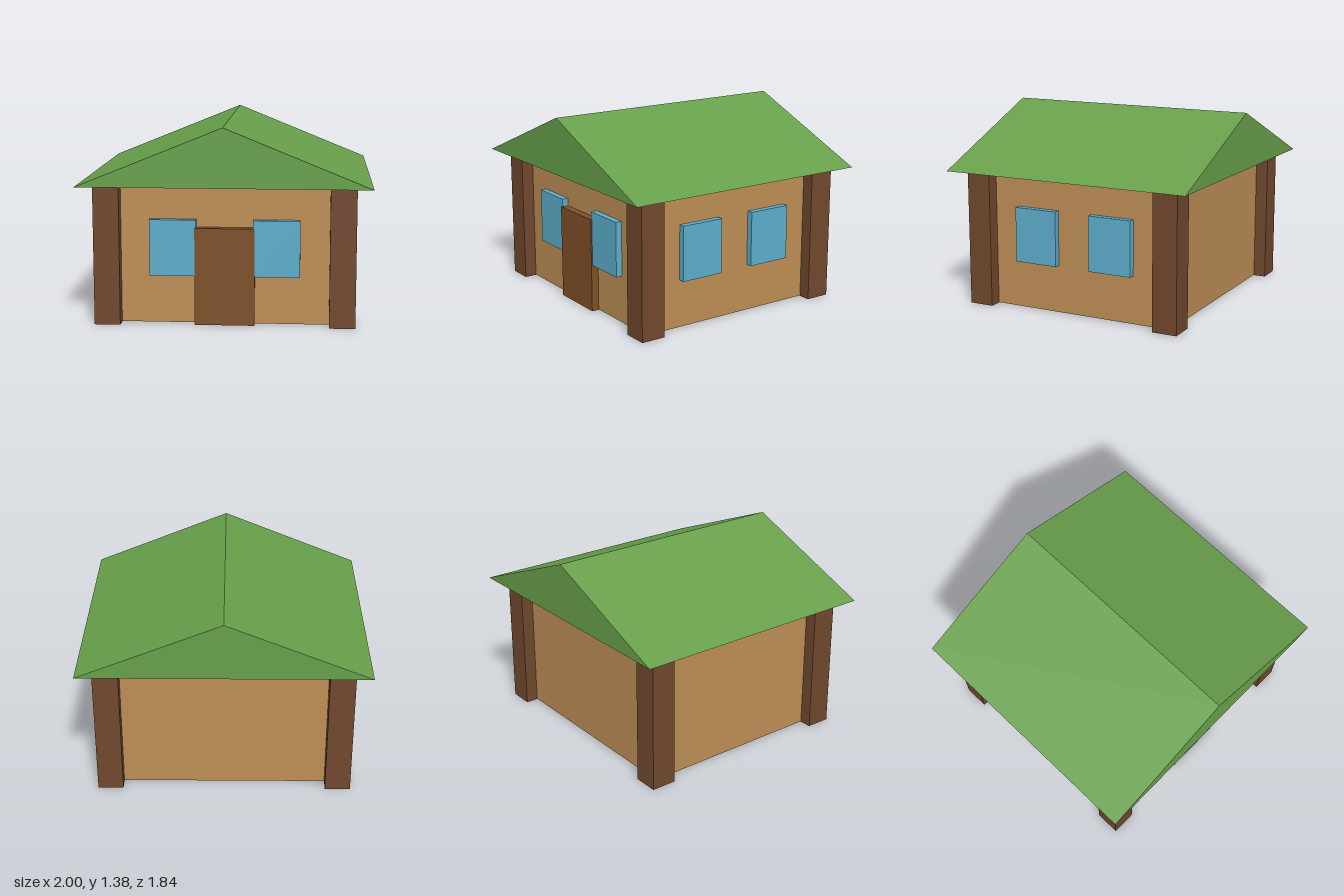
import * as THREE from 'three';

const material = (color) => new THREE.MeshStandardMaterial({ color, flatShading: true });

export function createModel() {
  const house = new THREE.Group();
  house.name = 'house';
  const wallMat = material(0xbe8e55);
  const postMat = material(0x70482e);
  const doorMat = material(0x7e5028);
  const glassMat = material(0x5daecb);
  const roofMat = material(0x68a04b);

  // Box given by its size, the height of its bottom and its centre in x and z
  function box(name, mat, w, h, d, x, bottom, z) {
    const mesh = new THREE.Mesh(new THREE.BoxGeometry(w, h, d), mat);
    mesh.name = name;
    mesh.position.set(x, bottom + h / 2, z);
    house.add(mesh);
  }

  const eaves = 0.97, wallX = 0.805, wallZ = 0.725;

  // Walls, lifted a hair above the post feet
  box('walls', wallMat, wallX * 2, eaves - 0.003, wallZ * 2, 0, 0.003, 0);

  // Square posts centred on the wall corners
  for (const sx of [-1, 1]) {
    for (const sz of [-1, 1]) {
      box('cornerPost', postMat, 0.178, eaves, 0.178, sx * wallX, 0, sz * wallZ);
    }
  }

  // Front door
  box('door', doorMat, 0.41, 0.675, 0.1, 0, 0, 0.729);

  // Two windows on the front wall and two on the +x wall
  for (const s of [-1, 1]) {
    box('frontWindow', glassMat, 0.32, 0.39, 0.09, s * 0.355, 0.34, wallZ);
    box('sideWindow', glassMat, 0.09, 0.39, 0.32, wallX, 0.34, s * 0.29);
  }

  // Solid gabled roof
  const gable = new THREE.Shape();
  gable.moveTo(-1, 0);
  gable.lineTo(1, 0);
  gable.lineTo(0, 0.405);
  gable.closePath();
  const roofGeo = new THREE.ExtrudeGeometry(gable, { depth: 1.836, bevelEnabled: false });
  const roof = new THREE.Mesh(roofGeo, roofMat);
  roof.name = 'roof';
  roof.position.set(0, eaves, -0.918);
  house.add(roof);

  return house;
}
